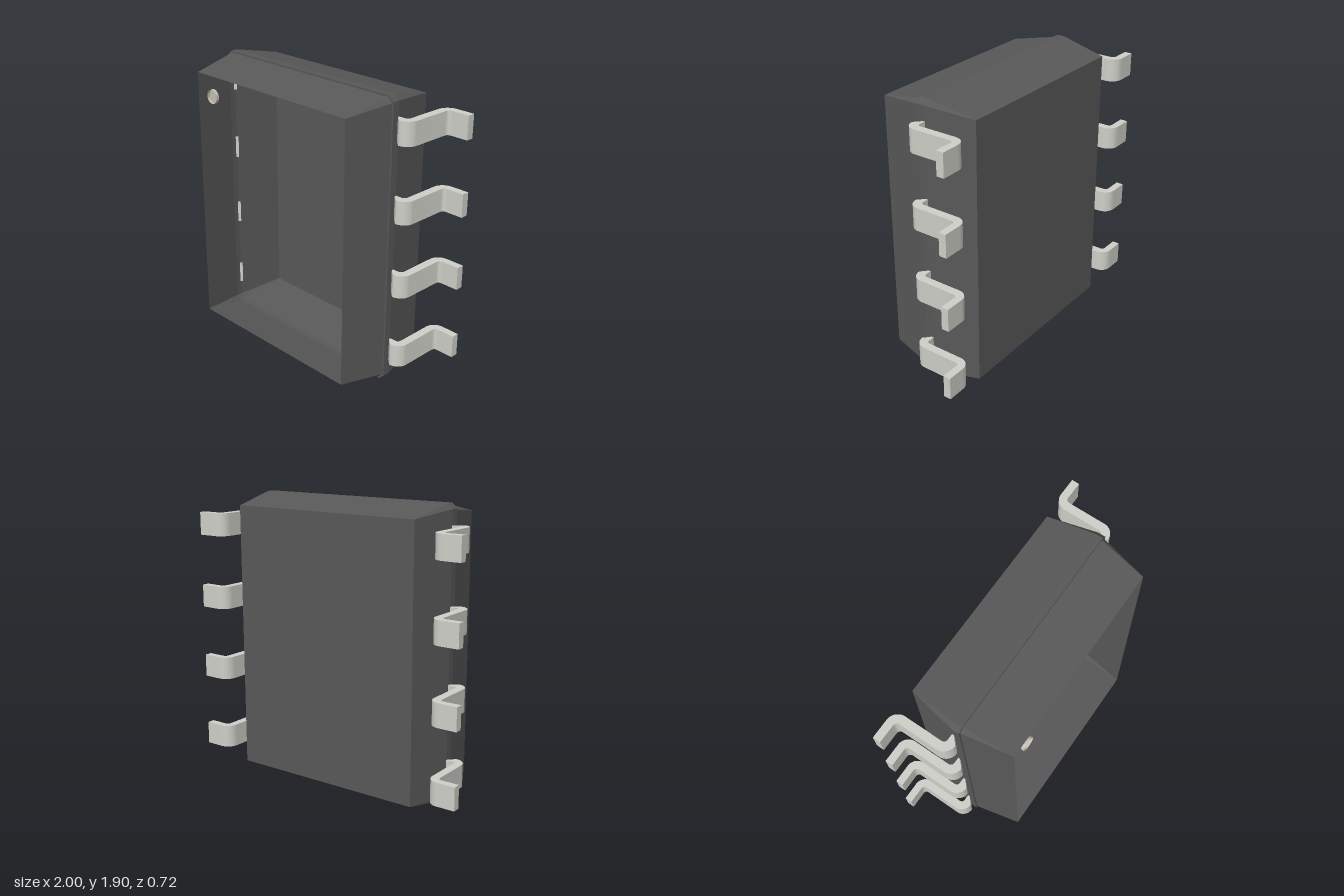
import * as THREE from 'three';
import { toCreasedNormals } from 'three/addons/utils/BufferGeometryUtils.js';

const MID_Y = 0.95;

// Octagonal ring (rectangle with chamfered corners), counter-clockwise from the front
function ring({ z, w, h, c }) {
  return [
    [w, -h + c], [w, h - c], [w - c, h], [-w + c, h],
    [-w, h - c], [-w, -h + c], [-w + c, -h], [w - c, -h],
  ].map(([x, y]) => [x, y + MID_Y, z]);
}

// Hollow shell lofted from front to back, open at the front and capped at the back
function shellGeometry(sections) {
  const rings = sections.map(ring);
  const pos = [];
  const tri = (...corners) => corners.forEach((p) => pos.push(...p));
  for (let s = 0; s < rings.length - 1; s++) {
    const front = rings[s], back = rings[s + 1];
    for (let i = 0; i < 8; i++) {
      const j = (i + 1) % 8;
      if (sections[s].c || i % 2 === 0) tri(front[i], back[j], front[j]);
      if (sections[s + 1].c || i % 2 === 0) tri(front[i], back[i], back[j]);
    }
  }
  const last = rings[rings.length - 1];
  // The back ring has no chamfer, so its four corners are every second point
  tri(last[0], last[4], last[2]);
  tri(last[0], last[6], last[4]);
  const geo = new THREE.BufferGeometry();
  geo.setAttribute('position', new THREE.Float32BufferAttribute(pos, 3));
  geo.computeVertexNormals();
  return geo;
}

// Gull-wing lead: profile drawn in (x, -z), extruded along y and centred on it
function leadGeometry(height) {
  const R = 0.075, r = 0.025, H = Math.PI / 2;
  const x0 = 0.72, x1 = 0.80, x2 = 0.855, x3 = 1;
  const lo = -0.045, loTop = 0.01, hiBottom = 0.31, hi = 0.36;
  const s = new THREE.Shape();
  s.moveTo(x0, lo);
  s.absarc(x2 - R, lo + R, R, -H, 0, false);
  s.absarc(x2 + r, hiBottom - r, r, Math.PI, H, true);
  s.lineTo(x3, hiBottom);
  s.lineTo(x3, hi);
  s.absarc(x1 + R, hi - R, R, H, Math.PI, false);
  s.absarc(x1 - r, loTop + r, r, 0, -H, true);
  s.lineTo(x0, loTop);
  s.closePath();
  const geo = new THREE.ExtrudeGeometry(s, { depth: height, bevelEnabled: false, curveSegments: 8 });
  geo.translate(0, 0, -height / 2);
  geo.rotateX(-Math.PI / 2);
  return toCreasedNormals(geo, 0.6);
}

export function createModel() {
  const model = new THREE.Group();
  model.name = 'chipPackage';

  const bodyMat = new THREE.MeshStandardMaterial({ color: 0x585858, flatShading: true, side: THREE.DoubleSide });
  const leadMat = new THREE.MeshStandardMaterial({ color: 0xcfcfc8 });
  const dotMat = new THREE.MeshStandardMaterial({ color: 0xc4c0b0, side: THREE.DoubleSide });

  // Body: tapered both ways from a narrow middle band with a small step
  const body = new THREE.Mesh(shellGeometry([
    { z: 0.36, w: 0.66, h: 0.873, c: 0 },
    { z: 0.045, w: 0.724, h: 0.938, c: 0.03 },
    { z: 0.045, w: 0.735, h: 0.95, c: 0.033 },
    { z: -0.005, w: 0.735, h: 0.95, c: 0.033 },
    { z: -0.325, w: 0.67, h: 0.882, c: 0 },
  ]), bodyMat);
  body.name = 'body';
  model.add(body);

  // Shallow round marker in one front corner
  const dotGeo = new THREE.LatheGeometry(
    [[0, 0], [0.047, 0], [0.047, 0.02]].map(([x, y]) => new THREE.Vector2(x, y)), 32);
  dotGeo.rotateX(Math.PI / 2);
  const dot = new THREE.Mesh(toCreasedNormals(dotGeo, 0.6), dotMat);
  dot.name = 'cornerMarker';
  dot.position.set(-0.524, 1.687, 0.34);
  model.add(dot);

  // Four leads on each side; the right ones are turned half round
  const leadGeo = leadGeometry(0.152);
  for (const side of ['left', 'right']) {
    for (let i = 0; i < 4; i++) {
      const lead = new THREE.Mesh(leadGeo, leadMat);
      lead.name = `${side}Lead${i + 1}`;
      lead.position.y = 0.215 + i * 0.493;
      if (side === 'right') lead.rotation.z = Math.PI;
      model.add(lead);
    }
  }
  return model;
}
